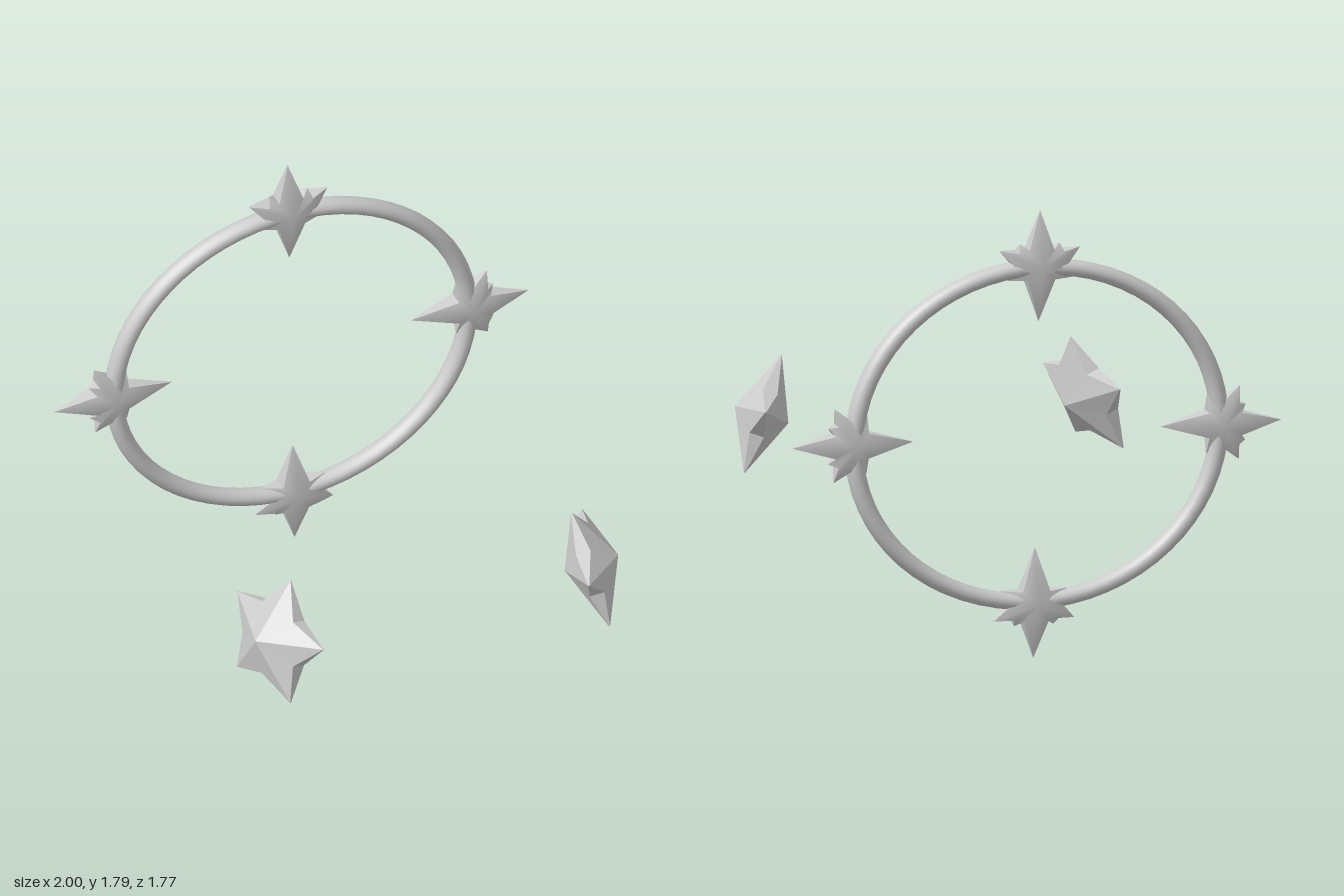
import * as THREE from 'three';

// Puffed star from a counter-clockwise outline of alternating tips and valleys:
// a peak on each side, sharp tips and a rim that is thick at the valleys
function starGeometry(outline, peak, valley) {
  const n = outline.length;
  const rim = (i) => (i % 2 ? valley : 0.002);
  const pos = [], index = [];
  for (const side of [1, -1]) {
    const base = pos.length / 3;
    pos.push(0, 0, side * peak);
    outline.forEach(([x, y], i) => pos.push(x, y, side * rim(i)));
    for (let i = 0; i < n; i++) {
      const a = base + 1 + i, b = base + 1 + ((i + 1) % n);
      if (side > 0) index.push(base, a, b);
      else index.push(base, b, a);
    }
  }
  // Rim with its own corners so its edge stays sharp
  for (let i = 0; i < n; i++) {
    const j = (i + 1) % n;
    const [ax, ay] = outline[i], [bx, by] = outline[j];
    const k = pos.length / 3;
    pos.push(ax, ay, rim(i), ax, ay, -rim(i), bx, by, -rim(j), bx, by, rim(j));
    index.push(k, k + 1, k + 2, k, k + 2, k + 3);
  }
  const geo = new THREE.BufferGeometry();
  geo.setAttribute('position', new THREE.Float32BufferAttribute(pos, 3));
  geo.setIndex(index);
  geo.computeVertexNormals();
  return geo;
}

export function createModel() {
  const model = new THREE.Group();
  const grey = new THREE.MeshStandardMaterial({ color: 0xcccccc });

  // Ring, slightly oval and very slightly turned
  const halo = new THREE.Group();
  halo.name = 'starRing';
  halo.position.set(0, 0.897, -0.816);
  halo.rotation.set(0, 0.015, 0.016);
  halo.scale.x = 1.115;
  const ring = new THREE.Mesh(new THREE.TorusGeometry(0.67, 0.033, 16, 64), grey);
  ring.name = 'ring';
  ring.scale.z = 1.25;
  halo.add(ring);

  // Ring stars: right half from the inner tip up to the outer tip, then mirrored
  const half = [
    [0.05, -0.05], [0.118, -0.052], [0.09, -0.002], [0.148, 0.068],
    [0.082, 0.06], [0.072, 0.09], [0.045, 0.07],
  ];
  const sparkle = [
    [0, -0.222], ...half, [0, 0.222],
    ...half.slice().reverse().map(([x, y]) => [-x, y]),
  ];
  const sparkleGeo = starGeometry(sparkle, 0.06, 0.035);
  ['topStar', 'leftStar', 'bottomStar', 'rightStar'].forEach((name, i) => {
    const a = -i * Math.PI / 2;
    const star = new THREE.Mesh(sparkleGeo, grey);
    star.name = name;
    star.position.set(-Math.sin(a) * 0.675, Math.cos(a) * 0.675, 0);
    star.rotation.z = a;
    halo.add(star);
  });
  model.add(halo);

  // Two faceted five-pointed stars in front, facing outwards
  const five = [];
  for (let i = 0; i < 10; i++) {
    const a = Math.PI / 2 + i * Math.PI / 5;
    const r = i % 2 ? 0.148 : 0.252;
    five.push([Math.cos(a) * r * 1.08, Math.sin(a) * r]);
  }
  const fiveGeo = starGeometry(five, 0.11, 0.03).toNonIndexed();
  fiveGeo.computeVertexNormals();
  for (const s of [1, -1]) {
    const normal = new THREE.Vector3(0.905 * s, 0.307, 0.303).normalize();
    const up = new THREE.Vector3(-0.07 * s, 0.24, -0.025);
    up.addScaledVector(normal, -up.dot(normal)).normalize();
    const across = new THREE.Vector3().crossVectors(up, normal);
    const star = new THREE.Mesh(fiveGeo, grey);
    star.name = s > 0 ? 'leftFrontStar' : 'rightFrontStar';
    star.quaternion.setFromRotationMatrix(new THREE.Matrix4().makeBasis(across, up, normal));
    star.position.set(s > 0 ? 0.68 : -0.643, s > 0 ? 0.677 : 0.667, 0.643);
    model.add(star);
  }
  return model;
}
